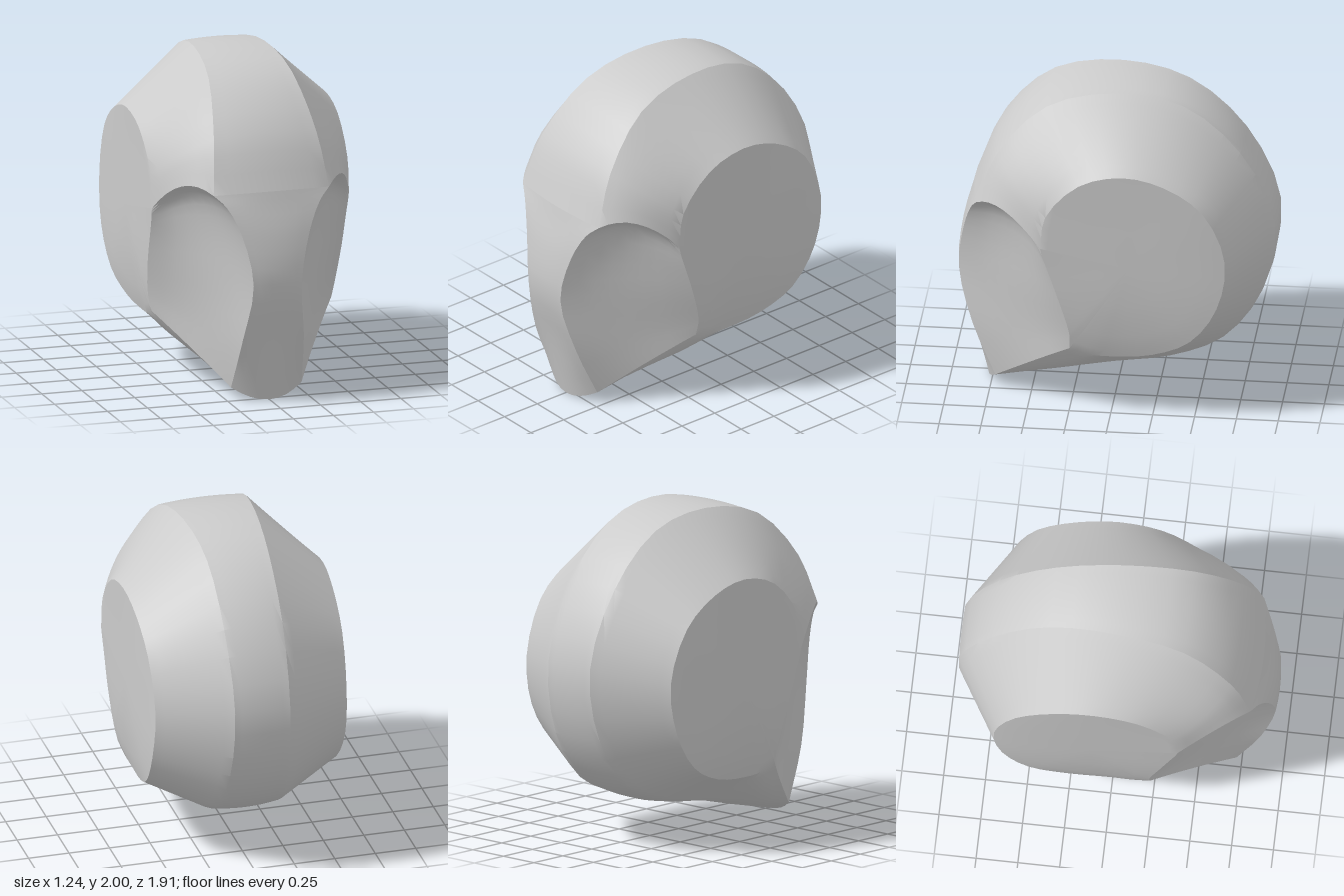
import * as THREE from 'three';
import { toCreasedNormals } from 'three/addons/utils/BufferGeometryUtils.js';

const V = (x, y, z) => new THREE.Vector3(x, y, z);

// Each station: midline [y, z], ridge [x, y, z], side-disc edge [x, y, z], optional point between ridge and disc.
// Dome: from the brow over the crown, down the back and along the underside to the chin.
const dome = [
  [[1.3, 0.86], [0.36, 1.29, 0.82], [0.615, 1.13, 0.41], [0.5, 1.315, 0.64]],
  [[1.63, 0.72], [0.32, 1.6, 0.7], [0.615, 1.34, 0.38], [0.48, 1.49, 0.57]],
  [[1.91, 0.42], [0.26, 1.9, 0.41], [0.618, 1.56, 0.18]],
  [[2.0, 0], [0.22, 1.99, 0], [0.618, 1.63, -0.08]],
  [[1.92, -0.4], [0.19, 1.91, -0.4], [0.61, 1.57, -0.33]],
  [[1.62, -0.75], [0.18, 1.61, -0.74], [0.6, 1.4, -0.56]],
  [[1.15, -0.95], [0.17, 1.15, -0.945], [0.59, 1.08, -0.69]],
  [[0.7, -0.88], [0.18, 0.7, -0.87], [0.595, 0.77, -0.64]],
  [[0.38, -0.65], [0.2, 0.39, -0.64], [0.585, 0.54, -0.48]],
  [[0.24, -0.35], [0.22, 0.26, -0.33], [0.56, 0.43, -0.25]],
  [[0.19, 0], [0.23, 0.21, 0], [0.545, 0.4, 0]],
  [[0.09, 0.4], [0.21, 0.13, 0.38], [0.55, 0.41, 0.13], [0.4, 0.26, 0.25]],
  [[0, 0.78], [0.22, 0.075, 0.72], [0.56, 0.45, 0.24], [0.39, 0.27, 0.47]],
];

// Face: from the chin up through the scooped sockets to the brow.
const face = [
  dome[dome.length - 1],
  [[0.4, 0.87], [0.19, 0.4, 0.86], [0.585, 0.56, 0.24], [0.36, 0.46, 0.53]],
  [[0.75, 0.955], [0.15, 0.75, 0.945], [0.605, 0.78, 0.3], [0.35, 0.77, 0.59]],
  [[1.03, 0.93], [0.21, 1.05, 0.91], [0.61, 0.99, 0.37], [0.37, 1.05, 0.6]],
  [[1.22, 0.88], [0.29, 1.22, 0.86], [0.613, 1.08, 0.4], [0.43, 1.24, 0.59]],
  dome[0],
];

const discCentre = V(0.615, 1.02, -0.12);

// Half cross-section from the side disc centre to the midline.
function halfRow(mid, ridge, between, edge) {
  const row = [];
  for (const s of [0, 0.4, 0.75, 0.92]) {
    const p = discCentre.clone().lerp(edge, s);
    p.x = discCentre.x + (edge.x - discCentre.x) * s ** 3;
    row.push(p);
  }
  // Quadratic passing through the in-between point
  const control = between.clone().multiplyScalar(2).addScaledVector(edge, -0.5).addScaledVector(ridge, -0.5);
  row.push(...new THREE.QuadraticBezierCurve3(edge, control, ridge).getPoints(8));
  // Gently crowned centre band
  for (const t of [0.75, 0.5, 0.25, 0]) {
    const p = mid.clone().lerp(ridge, t * t);
    p.x = ridge.x * t;
    row.push(p);
  }
  return row;
}

// Smooth rows along a run of stations, mirrored to the full width.
function loftRows(stations, steps) {
  const lines = [
    stations.map(s => V(0, ...s[0])),
    stations.map(s => V(...s[1])),
    stations.map(s => s[3] ? V(...s[3]) : V(...s[1]).lerp(V(...s[2]), 0.5)),
    stations.map(s => V(...s[2])),
  ].map(points => new THREE.CatmullRomCurve3(points));
  const rows = [];
  for (let i = 0; i <= steps; i++) {
    const half = halfRow(...lines.map(line => line.getPoint(i / steps)));
    const mirrored = half.slice(0, -1).reverse().map(p => V(-p.x, p.y, p.z));
    rows.push([...half, ...mirrored]);
  }
  return rows;
}

function skin(rows) {
  const positions = [];
  const tri = (...points) => points.forEach(p => positions.push(p.x, p.y, p.z));
  for (let i = 0; i < rows.length - 1; i++) {
    const a = rows[i], b = rows[i + 1], last = a.length - 2;
    for (let j = 0; j <= last; j++) {
      if (j < last) tri(a[j], b[j + 1], a[j + 1]);
      if (j > 0) tri(a[j], b[j], b[j + 1]);
    }
  }
  const geometry = new THREE.BufferGeometry();
  geometry.setAttribute('position', new THREE.Float32BufferAttribute(positions, 3));
  return toCreasedNormals(geometry, 0.45);
}

export function createModel() {
  const group = new THREE.Group();
  group.name = 'headShell';
  const material = new THREE.MeshStandardMaterial({ color: 0xcccccc });
  // Rounded dome with flat side discs, and the narrow face with its sockets
  for (const [name, stations, steps] of [['dome', dome, 36], ['face', face, 15]]) {
    const mesh = new THREE.Mesh(skin(loftRows(stations, steps)), material);
    mesh.name = name;
    group.add(mesh);
  }
  return group;
}
